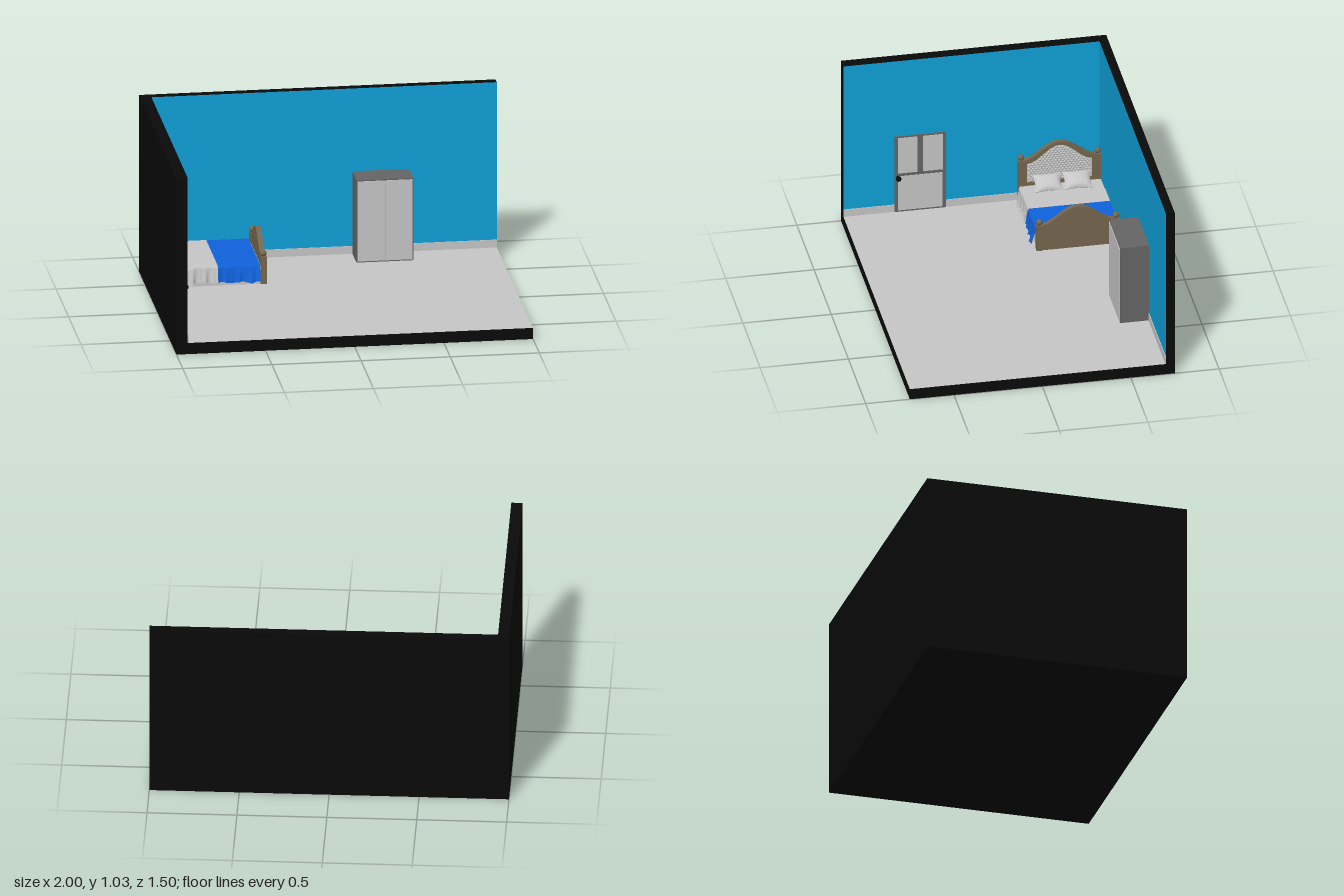
import * as THREE from 'three';
import { mergeGeometries } from 'three/addons/utils/BufferGeometryUtils.js';

const mat = (name, color, side = THREE.FrontSide) => {
  const m = new THREE.MeshStandardMaterial({ color, side });
  m.name = name;
  return m;
};

export function createModel() {
  const room = new THREE.Group();
  room.name = 'bedroom';
  const black = mat('shell black', 0x0a0a0a);
  const wallBlue = mat('wall blue', 0x0fa0d8);
  const light = mat('light grey', 0xc6c6c6, THREE.DoubleSide);
  const dark = mat('dark grey', 0x656565);
  const wood = mat('wood brown', 0x75674f);
  const blue = mat('blanket blue', 0x1062dc, THREE.DoubleSide);

  const group = (name) => {
    const g = new THREE.Group();
    g.name = name;
    room.add(g);
    return g;
  };
  const add = (parent, name, geo, material) => {
    const m = new THREE.Mesh(geo, material);
    m.name = name;
    parent.add(m);
    return m;
  };
  // Box given by its minimum and maximum on each axis
  const box = (parent, name, material, x0, x1, y0, y1, z0, z1) => {
    const m = add(parent, name, new THREE.BoxGeometry(x1 - x0, y1 - y0, z1 - z0), material);
    m.position.set((x0 + x1) / 2, (y0 + y1) / 2, (z0 + z1) / 2);
    return m;
  };

  // Shell of the room, open at the front and right
  const F = 0.065, W = -0.935, B = -0.7, H = 1.03, e = 0.002;
  const shell = group('roomShell');
  box(shell, 'floorSlab', black, -1, 1, 0, F - e, -0.75, 0.75);
  box(shell, 'backWall', black, -1, 1, F - e, H, -0.75, B - e);
  box(shell, 'sideWall', black, -1, W - e, F - e, H, B - e, 0.75);
  const plate = (name, material, w, h, x, y, z, rx, ry) => {
    const m = add(shell, name, new THREE.PlaneGeometry(w, h), material);
    m.position.set(x, y, z);
    m.rotation.set(rx, ry, 0);
  };
  const midX = (1 + W) / 2, midZ = (0.75 + B) / 2, midY = (F + H) / 2;
  plate('floorCovering', light, 1 - W, 0.75 - B, midX, F, midZ, -Math.PI / 2, 0);
  plate('backWallPaint', wallBlue, 1 - W, H - F, midX, midY, B, 0, 0);
  plate('sideWallPaint', wallBlue, 0.75 - B, H - F, W, midY, midZ, 0, Math.PI / 2);
  box(shell, 'backSkirting', light, W, 1, F, 0.11, B, B + 0.004);
  box(shell, 'sideSkirting', light, W, W + 0.004, F, 0.11, B, 0.75);

  // Door with two upper panels, one lower panel and a knob
  const door = group('door');
  box(door, 'doorFrame', dark, W, -0.928, F, 0.548, 0.17, 0.46);
  [[0.312, 0.538, 0.188, 0.3], [0.312, 0.538, 0.333, 0.443], [0.075, 0.293, 0.19, 0.443]]
    .forEach(([y0, y1, z0, z1]) => box(door, 'doorPanel', light, -0.929, -0.925, y0, y1, z0, z1));
  const stem = add(door, 'knobStem', new THREE.CylinderGeometry(0.008, 0.008, 0.03, 12), black);
  stem.rotation.z = Math.PI / 2;
  stem.position.set(-0.915, 0.29, 0.443);
  add(door, 'knob', new THREE.SphereGeometry(0.016, 16, 12), black).position.set(-0.905, 0.29, 0.443);

  // Wardrobe with two doors
  const wardrobe = group('wardrobe');
  box(wardrobe, 'wardrobeBody', dark, 0.19, 0.51, F, 0.546, B, -0.536);
  box(wardrobe, 'wardrobeDoor', light, 0.197, 0.349, 0.072, 0.539, -0.537, -0.532);
  box(wardrobe, 'wardrobeDoor', light, 0.351, 0.503, 0.072, 0.539, -0.537, -0.532);

  // Bed boards: an arched outline swept along x
  const bed = group('bed');
  const bedZ = -0.466;
  const archY = (x, w, side, peak) => side + (peak - side) * (1 + Math.cos(Math.PI * x / w)) / 2;
  const archPoints = (w, bottom, side, peak) => {
    const pts = [new THREE.Vector2(-w, bottom), new THREE.Vector2(w, bottom)];
    for (let i = 0; i <= 20; i++) {
      const x = w - i / 20 * 2 * w;
      pts.push(new THREE.Vector2(x, archY(x, w, side, peak)));
    }
    return pts;
  };
  const board = (name, shape, x, depth, material) => {
    const geo = new THREE.ExtrudeGeometry(shape, { depth, bevelEnabled: false });
    const m = add(bed, name, geo, material);
    m.rotation.y = Math.PI / 2;
    m.position.set(x, 0, bedZ);
  };
  const headShape = new THREE.Shape(archPoints(0.215, F, 0.332, 0.435));
  headShape.holes.push(new THREE.Path(archPoints(0.186, 0.19, 0.312, 0.415)));
  board('headboard', headShape, -0.922, 0.03, wood);
  board('headboardPadding', new THREE.Shape(archPoints(0.187, 0.189, 0.312, 0.416)), -0.917, 0.014, light);
  board('footboard', new THREE.Shape(archPoints(0.215, F, 0.222, 0.325)), -0.387, 0.028, wood);

  // Tufts on the padding, in staggered rows
  const tufts = [];
  for (let row = 0; row < 16; row++) {
    for (let col = -9; col <= 9; col++) {
      const z = (col + (row % 2) / 2) * 0.02, y = 0.2 + row * 0.014;
      if (Math.abs(z) > 0.178 || y > archY(z, 0.186, 0.304, 0.407)) continue;
      tufts.push(new THREE.SphereGeometry(0.01, 8, 6).scale(0.6, 0.85, 1).translate(-0.903, y, bedZ + z));
    }
  }
  add(bed, 'headboardTufts', mergeGeometries(tufts), light);

  // Posts with ball tops
  for (const [x, top] of [[-0.907, 0.332], [-0.372, 0.222]]) {
    for (const z of [bedZ - 0.217, bedZ + 0.217]) {
      box(bed, 'bedPost', wood, x - 0.017, x + 0.017, F, top, z - 0.017, z + 0.017);
      add(bed, 'postBall', new THREE.SphereGeometry(0.018, 16, 12), wood).position.set(x, top + 0.018, z);
    }
  }

  // Mattress and draped covers
  box(bed, 'mattress', light, -0.892, -0.385, F, 0.17, -0.699, -0.24);
  const cover = (name, material, x0, x1, top, bottom, flare) => {
    const geo = new THREE.PlaneGeometry(1, 1, 32, 14);
    const p = geo.attributes.position;
    for (let i = 0; i < p.count; i++) {
      const u = p.getX(i) + 0.5, v = Math.round((0.5 - p.getY(i)) * 14);
      const x = x0 + u * (x1 - x0);
      if (v < 4) {
        p.setXYZ(i, x, top, -0.699 + v / 3 * 0.457);
      } else {
        const t = (v - 4) / 10;
        const ripple = 0.006 * Math.sin(x * 95) + 0.004 * Math.sin(x * 170 + 1);
        p.setXYZ(i, x, top - 0.006 - t * (top - 0.006 - bottom - 0.004 * Math.sin(x * 60)),
          -0.235 + t * (0.012 + flare * u * u + ripple));
      }
    }
    geo.computeVertexNormals();
    add(bed, name, geo, material);
  };
  cover('sheet', light, -0.892, -0.77, 0.172, 0.072, 0.002);
  cover('foldedSheet', light, -0.77, -0.63, 0.182, 0.09, 0.006);
  cover('blanket', blue, -0.63, -0.393, 0.18, 0.085, 0.018);

  // Pillows: boxes pinched thin towards their edges
  for (const z of [-0.555, -0.388]) {
    const geo = new THREE.BoxGeometry(2, 2, 2, 14, 1, 14);
    const p = geo.attributes.position;
    for (let i = 0; i < p.count; i++) {
      const a = p.getX(i), c = p.getZ(i);
      const puff = Math.sqrt(Math.max(0, (1 - a * a) * (1 - c * c)));
      p.setXYZ(i, a * 0.058 * (1 - 0.1 * (1 - c * c)), p.getY(i) * (0.002 + 0.024 * puff),
        c * 0.078 * (1 - 0.08 * (1 - a * a)));
    }
    geo.computeVertexNormals();
    const pillow = add(bed, 'pillow', geo, light);
    pillow.position.set(-0.84, 0.213, z);
    pillow.rotation.z = -0.55;
  }
  return room;
}
